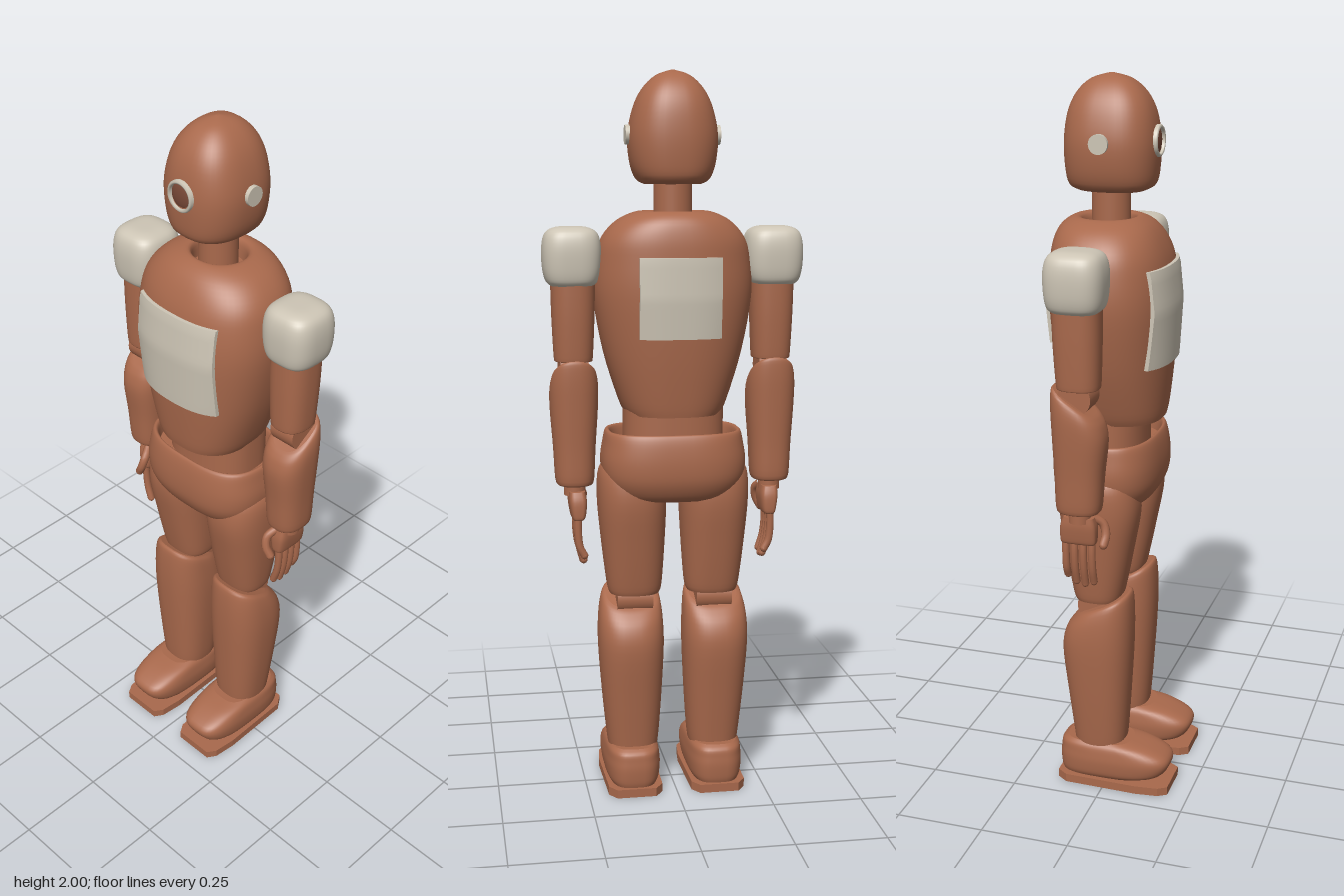
import * as THREE from 'three';

const body = new THREE.MeshStandardMaterial({ name: 'copper brown', color: 0xa9694c });
const pale = new THREE.MeshStandardMaterial({ name: 'pale stone', color: 0xcdc5b5 });
const dark = new THREE.MeshStandardMaterial({ name: 'dark brown', color: 0x7a4a38 });

const add = (parent, name, geometry, material = body) => {
  const mesh = new THREE.Mesh(geometry, material);
  mesh.name = name;
  parent.add(mesh);
  return mesh;
};

// Smooth blend through four neighbouring values
const spline = (a, b, c, d, t) =>
  0.5 * (2 * b + (c - a) * t + (2 * a - 5 * b + 4 * c - d) * t * t + (3 * b - a - 3 * c + d) * t * t * t);

// Loft of rounded cross-sections, bottom to top: [y, x, z, halfWidth, halfDepth, squareness, tilt]
function loft(sections, around = 48, steps = 4) {
  const rows = [];
  const at = i => sections[Math.min(Math.max(i, 0), sections.length - 1)];
  for (let i = 0; i < sections.length - 1; i++)
    for (let k = 0; k < steps; k++)
      rows.push([0, 1, 2, 3, 4, 5, 6].map(c =>
        spline(...[-1, 0, 1, 2].map(o => at(i + o)[c] ?? (c === 5 ? 2.5 : 0)), k / steps)));
  rows.push(at(sections.length - 1));
  const pos = [], index = [];
  const ring = ([y, x, z, w, d, n = 2.5, tilt = 0]) => {
    for (let i = 0; i < around; i++) {
      const a = (i / around) * Math.PI * 2, c = Math.cos(a), s = Math.sin(a);
      const u = Math.sign(c) * Math.abs(c) ** (2 / n), v = Math.sign(s) * Math.abs(s) ** (2 / n);
      pos.push(x + w * u, y + tilt * v, z + d * v);
    }
  };
  rows.forEach(ring);
  for (let j = 0; j < rows.length - 1; j++)
    for (let i = 0; i < around; i++) {
      const a = j * around + i, b = j * around + (i + 1) % around;
      index.push(a, a + around, b, b, a + around, b + around);
    }
  // End caps with their own corners keep the rims crisp
  [rows[0], rows[rows.length - 1]].forEach((row, top) => {
    const start = pos.length / 3;
    ring(row);
    pos.push(row[1], row[0], row[2]);
    for (let i = 0; i < around; i++) {
      const a = start + i, b = start + (i + 1) % around;
      index.push(start + around, top ? b : a, top ? a : b);
    }
  });
  const g = new THREE.BufferGeometry();
  g.setAttribute('position', new THREE.Float32BufferAttribute(pos, 3));
  g.setIndex(index);
  g.computeVertexNormals();
  return g;
}

const torsoSections = [
  [1.08, 0, -0.015, 0.132, 0.135, 2.5], [1.12, 0, -0.015, 0.15, 0.142, 2.5],
  [1.25, 0, -0.017, 0.19, 0.156, 2.4], [1.40, 0, -0.019, 0.216, 0.165, 2.4],
  [1.50, 0, -0.023, 0.211, 0.159, 2.4], [1.56, 0, -0.03, 0.193, 0.147, 2.4],
  [1.605, 0, -0.037, 0.152, 0.125, 2.3], [1.628, 0, -0.04, 0.1, 0.092, 2.2],
  [1.622, 0, -0.036, 0.076, 0.072, 2], [1.58, 0, -0.032, 0.072, 0.068, 2]];

// Curved plate that hugs the torso; side is +1 for the chest, -1 for the back
function plate(width, y0, y1, side) {
  const g = new THREE.BoxGeometry(width, y1 - y0, 0.02, 20, 16, 1).translate(0, (y0 + y1) / 2, 0);
  const p = g.attributes.position;
  for (let i = 0; i < p.count; i++) {
    const x = p.getX(i), y = p.getY(i);
    const k = torsoSections.findIndex(s => s[0] > y);
    const a = torsoSections[k - 1], b = torsoSections[k];
    const [, , z, w, d, n] = a.map((v, c) => v + (b[c] - v) * (y - a[0]) / (b[0] - a[0]));
    const surface = d * (1 - Math.abs(x / w) ** n) ** (1 / n);
    p.setZ(i, z + side * (surface + (p.getZ(i) * side > 0 ? 0.011 : -0.008)));
  }
  g.computeVertexNormals();
  return g;
}

function buildHead() {
  const head = new THREE.Group();
  head.name = 'head';
  add(head, 'skull', loft([
    [1.70, 0, -0.025, 0.075, 0.09], [1.715, 0, -0.025, 0.099, 0.114],
    [1.76, 0, -0.025, 0.115, 0.123], [1.83, 0, -0.025, 0.12, 0.125],
    [1.90, 0, -0.026, 0.106, 0.115], [1.95, 0, -0.027, 0.082, 0.092],
    [1.985, 0, -0.028, 0.046, 0.054], [2.0, 0, -0.028, 0.004, 0.005]]));
  add(head, 'neck', new THREE.CylinderGeometry(0.052, 0.052, 0.16, 32)).position.set(0, 1.64, -0.03);
  // Single round eye in a pale rim
  const rim = new THREE.LatheGeometry(
    [[0.033, 0], [0.033, 0.026], [0.038, 0.028], [0.042, 0.024], [0.042, 0]].map(p => new THREE.Vector2(...p)).reverse(), 40);
  const eyeRim = add(head, 'eyeRim', rim, pale);
  eyeRim.material.side = THREE.DoubleSide;
  eyeRim.rotation.x = Math.PI / 2;
  eyeRim.position.set(0, 1.83, 0.08);
  const lens = add(head, 'eyeLens', new THREE.SphereGeometry(0.034, 32, 16), dark);
  lens.scale.z = 0.25;
  lens.position.set(0, 1.83, 0.096);
  for (const s of [-1, 1]) {
    const ear = add(head, 'earDisc', new THREE.CylinderGeometry(0.026, 0.026, 0.02, 32), pale);
    ear.rotation.z = Math.PI / 2;
    ear.position.set(s * 0.119, 1.83, -0.026);
  }
  return head;
}

function buildArm(s) {
  const arm = new THREE.Group();
  arm.name = s > 0 ? 'leftArm' : 'rightArm';
  const x = s * 0.274;
  add(arm, 'shoulderCap', loft([
    [1.432, s * 0.277, -0.035, 0.058, 0.062, 3], [1.445, s * 0.277, -0.035, 0.07, 0.073, 3],
    [1.48, s * 0.277, -0.035, 0.078, 0.079, 3], [1.535, s * 0.277, -0.035, 0.079, 0.08, 3],
    [1.572, s * 0.277, -0.035, 0.069, 0.07, 3], [1.587, s * 0.277, -0.035, 0.042, 0.045, 3],
    [1.589, s * 0.277, -0.035, 0.005, 0.005, 3]]), pale);
  add(arm, 'upperArm', loft([
    [1.228, x, -0.032, 0.05, 0.055], [1.24, x, -0.032, 0.053, 0.058],
    [1.35, x, -0.034, 0.058, 0.063], [1.45, x, -0.035, 0.06, 0.064]]));
  const elbow = add(arm, 'elbow', new THREE.CylinderGeometry(0.045, 0.045, 0.078, 32));
  elbow.rotation.z = Math.PI / 2;
  elbow.position.set(x, 1.205, -0.033);
  add(arm, 'forearm', loft([
    [0.885, x, -0.033, 0.044, 0.052], [0.9, x, -0.033, 0.053, 0.061],
    [0.99, x, -0.031, 0.058, 0.066], [1.09, x, -0.029, 0.065, 0.073, 2.5, -0.01],
    [1.15, x, -0.034, 0.066, 0.071, 2.5, -0.025], [1.185, x, -0.04, 0.06, 0.064, 2.5, -0.037],
    [1.195, x, -0.043, 0.05, 0.056, 2.5, -0.037]]));
  // Palm, four curled fingers and a thumb
  add(arm, 'wrist', new THREE.CylinderGeometry(0.03, 0.03, 0.05, 24)).position.set(x, 0.88, -0.033);
  add(arm, 'palm', loft([
    [0.79, s * 0.268, -0.038, 0.014, 0.046, 4], [0.8, s * 0.267, -0.038, 0.02, 0.05, 4],
    [0.84, s * 0.268, -0.037, 0.025, 0.05, 4], [0.868, s * 0.27, -0.035, 0.022, 0.042, 4]], 32));
  const digit = (name, points, radius) => {
    const curve = new THREE.CatmullRomCurve3(points.map(p => new THREE.Vector3(s * p[0], p[1], p[2])));
    add(arm, name, new THREE.TubeGeometry(curve, 12, radius, 10));
    add(arm, name + 'Tip', new THREE.SphereGeometry(radius, 10, 8)).position.copy(curve.getPoint(1));
  };
  [0.675, 0.667, 0.672, 0.69].forEach((tip, i) => {
    const z = -0.001 - i * 0.0245;
    digit('finger', [[0.268, 0.805, z], [0.27, 0.765, z], [0.265, 0.715, z], [0.253, tip, z]], 0.0105);
  });
  digit('thumb', [[0.258, 0.865, 0.0], [0.247, 0.845, 0.024], [0.252, 0.815, 0.033], [0.265, 0.79, 0.03]], 0.012);
  return arm;
}

function buildLeg(s) {
  const leg = new THREE.Group();
  leg.name = s > 0 ? 'leftLeg' : 'rightLeg';
  add(leg, 'thigh', loft([
    [0.572, s * 0.11, -0.03, 0.07, 0.064], [0.6, s * 0.11, -0.03, 0.077, 0.072],
    [0.72, s * 0.113, -0.028, 0.088, 0.094], [0.84, s * 0.116, -0.026, 0.095, 0.112],
    [0.92, s * 0.118, -0.026, 0.088, 0.1], [0.955, s * 0.118, -0.026, 0.06, 0.07]]));
  const knee = add(leg, 'knee', new THREE.CylinderGeometry(0.045, 0.045, 0.1, 32));
  knee.rotation.z = Math.PI / 2;
  knee.position.set(s * 0.112, 0.555, -0.035);
  add(leg, 'shin', loft([
    [0.115, s * 0.116, -0.025, 0.068, 0.072], [0.16, s * 0.116, -0.025, 0.074, 0.077],
    [0.28, s * 0.118, -0.028, 0.084, 0.088], [0.42, s * 0.12, -0.031, 0.092, 0.099, 2.5, 0.005],
    [0.5, s * 0.12, -0.025, 0.09, 0.094, 2.5, 0.02], [0.55, s * 0.118, -0.014, 0.082, 0.078, 2.5, 0.032],
    [0.562, s * 0.117, -0.01, 0.07, 0.064, 2.5, 0.03]]));
  add(leg, 'foot', loft([
    [0.026, s * 0.118, -0.01, 0.066, 0.125, 3.2], [0.042, s * 0.118, 0.012, 0.075, 0.151, 3.2],
    [0.075, s * 0.118, 0.022, 0.079, 0.163, 3.2], [0.1, s * 0.118, 0.018, 0.077, 0.157, 3.2],
    [0.122, s * 0.118, -0.005, 0.072, 0.13, 3.2], [0.134, s * 0.118, -0.025, 0.062, 0.095, 3]]));
  // Flat sole with trimmed toe corners
  const outline = [[-0.055, -0.14], [0.055, -0.14], [0.076, -0.11], [0.081, 0.1],
    [0.074, 0.165], [0.058, 0.19], [-0.058, 0.19], [-0.074, 0.165], [-0.081, 0.1], [-0.076, -0.11]];
  const shape = new THREE.Shape(outline.map(([x, z]) => new THREE.Vector2(x, -z)).reverse());
  const sole = add(leg, 'sole', new THREE.ExtrudeGeometry(shape, { depth: 0.024, bevelEnabled: false }));
  sole.rotation.x = -Math.PI / 2;
  sole.position.set(s * 0.118, 0, 0);
  return leg;
}

export function createModel() {
  const model = new THREE.Group();
  model.name = 'humanoidRobot';
  model.add(buildHead());
  add(model, 'torso', loft(torsoSections, 64));
  add(model, 'chestPlate', plate(0.274, 1.245, 1.51, 1), pale);
  add(model, 'backPlate', plate(0.22, 1.295, 1.51, -1), pale);
  add(model, 'waist', loft([[0.98, 0, -0.033, 0.138, 0.105], [1.1, 0, -0.033, 0.138, 0.105]]));
  // Pelvis with a hollow rim around the waist
  add(model, 'pelvis', loft([
    [0.843, 0, -0.027, 0.13, 0.1, 2.8], [0.858, 0, -0.027, 0.168, 0.124, 2.8],
    [0.9, 0, -0.027, 0.193, 0.144, 2.8], [0.95, 0, -0.027, 0.2, 0.148, 2.8],
    [1.0, 0, -0.027, 0.193, 0.143, 2.8], [1.03, 0, -0.027, 0.186, 0.134, 2.8],
    [1.028, 0, -0.027, 0.174, 0.124, 2.8], [0.99, 0, -0.027, 0.168, 0.118, 2.8]], 64));
  for (const s of [-1, 1]) model.add(buildArm(s), buildLeg(s));
  return model;
}
